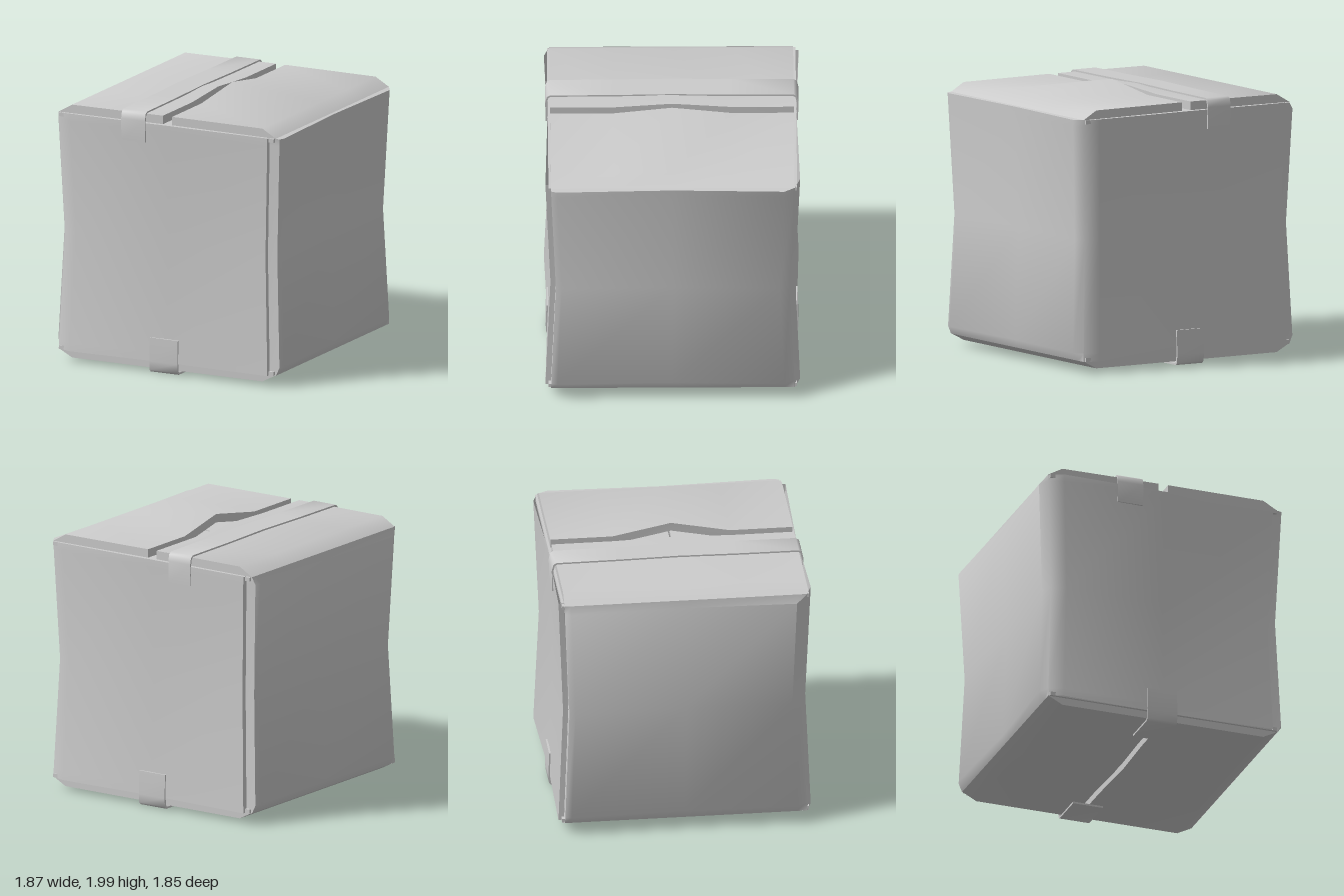
import * as THREE from 'three';
import { toCreasedNormals } from 'three/addons/utils/BufferGeometryUtils.js';

const material = new THREE.MeshStandardMaterial({ color: 0xcccccc, side: THREE.DoubleSide });

function addMesh(parent, name, geometry) {
  const mesh = new THREE.Mesh(geometry, material);
  mesh.name = name;
  parent.add(mesh);
  return mesh;
}

// Skin a list of equal-length cross-sections, each a list of [x, y, z].
function loft(rows) {
  const n = rows[0].length;
  const index = [];
  for (let r = 0; r < rows.length - 1; r++) {
    for (let i = 0; i < n - 1; i++) {
      const a = r * n + i, b = a + n;
      index.push(a, a + 1, b, a + 1, b + 1, b);
    }
  }
  const g = new THREE.BufferGeometry();
  g.setAttribute('position', new THREE.Float32BufferAttribute(rows.flat(2), 3));
  g.setIndex(index);
  return toCreasedNormals(g, 0.85);
}

// Two walls joined by a rounded corner, pinched at mid-height, with a tuck-in tab.
function wallPair(topLimit) {
  const plan = [
    [0.84, 0.885], [0.84, 0.925], [0, 0.905], [-0.78, 0.925], [-0.89, 0.885],
    [-0.935, 0.81], [-0.913, 0], [-0.935, -0.84], [-0.92, -0.885], [-0.82, -0.88],
  ];
  const levels = [[0.09, 0.89], [0.15, 1], [0.975, 1], [1.81, 1], [1.86, topLimit], [1.863, 0.89]];
  return loft(levels.map(([y, limit]) => {
    const pinch = 1 - 0.04 * Math.max(0, 1 - Math.abs(y - 0.975) / 0.885);
    return plan.map(([x, z]) => [Math.max(x * pinch, -limit), y, z * pinch]);
  }));
}

// Folded flap: bevelled outer edge, inner edge that bends away by lift at the middle.
function flap(side, top, inner, bend, lift) {
  const yAt = (h) => (top ? 1.862 + h : 0.093 - h);
  const section = (z, k) => {
    const x = inner + bend * k, dy = lift * k;
    return [
      [side * 0.89, yAt(0), z], [side * 0.78, yAt(top ? 0.064 : 0.058), z],
      [side * x, yAt(top ? 0.067 : 0.058) + dy, z], [side * x, yAt(0.004) + dy, z],
      [side * 0.89, yAt(0), z],
    ];
  };
  const cap = (z) => Array.from({ length: 5 }, () => [side * 0.45, yAt(0.03), z]);
  const rows = [[-0.885, 0], [-0.43, 0], [0, 1], [0.43, 0], [0.885, 0]].map(([z, k]) => section(z, k));
  return loft([cap(-0.885), ...rows, cap(0.885)]);
}

// Tape strip: a (z, y) outline given a width across x.
function tape(outline, xMin, xMax) {
  const shape = new THREE.Shape(outline.map(([z, y]) => new THREE.Vector2(z, y)));
  const g = new THREE.ExtrudeGeometry(shape, { depth: xMax - xMin, bevelEnabled: false });
  g.rotateY(-Math.PI / 2).translate(xMax, 0, 0);
  return toCreasedNormals(g, 0.85);
}

const mirrorZ = (points) => points.map(([z, y]) => [-z, y]).reverse();

export function createModel() {
  const box = new THREE.Group();
  box.name = 'cardboardBox';

  // Walls
  addMesh(box, 'frontAndRightWall', wallPair(0.89));
  addMesh(box, 'backAndLeftWall', wallPair(1)).rotation.y = Math.PI;

  // Inner flaps closing the top and bottom beneath the outer ones
  for (const [label, y] of [['Top', 1.847], ['Bottom', 0.105]]) {
    for (const [end, s] of [['front', 1], ['back', -1]]) {
      const g = new THREE.BoxGeometry(1.76, 0.028, 0.895);
      addMesh(box, end + 'Inner' + label + 'Flap', g).position.set(0, y, s * 0.455);
    }
  }

  // Outer flaps
  addMesh(box, 'leftTopFlap', flap(1, true, 0.04, 0.03, 0.07));
  addMesh(box, 'rightTopFlap', flap(-1, true, 0.035, 0.015, 0.02));
  addMesh(box, 'leftBottomFlap', flap(1, false, 0.008, 0.015, 0));
  addMesh(box, 'rightBottomFlap', flap(-1, false, 0.03, 0.01, -0.03));

  // Long tape over the top, hanging down front and back
  const outer = [[0.916, 1.72], [0.92, 1.88], [0.908, 1.93], [0.885, 1.945], [0.43, 1.947]];
  const inner = [[0.904, 1.72], [0.908, 1.875], [0.897, 1.922], [0.88, 1.933], [0.43, 1.935]];
  addMesh(box, 'topTape', tape([
    ...outer, [0, 1.953], ...mirrorZ(outer),
    ...mirrorZ(inner).reverse(), [0, 1.941], ...inner.slice().reverse(),
  ], -0.36, -0.165));

  // Short tapes wrapping under the bottom edge
  const clip = [
    [0.912, 0.265], [0.918, 0.09], [0.913, 0.025], [0.895, 0.008], [0.615, 0.008],
    [0.615, 0.022], [0.888, 0.022], [0.9, 0.035], [0.904, 0.09], [0.898, 0.265],
  ];
  addMesh(box, 'frontBottomTape', tape(clip, -0.13, 0.1));
  addMesh(box, 'backBottomTape', tape(mirrorZ(clip), -0.13, 0.1));

  return box;
}
